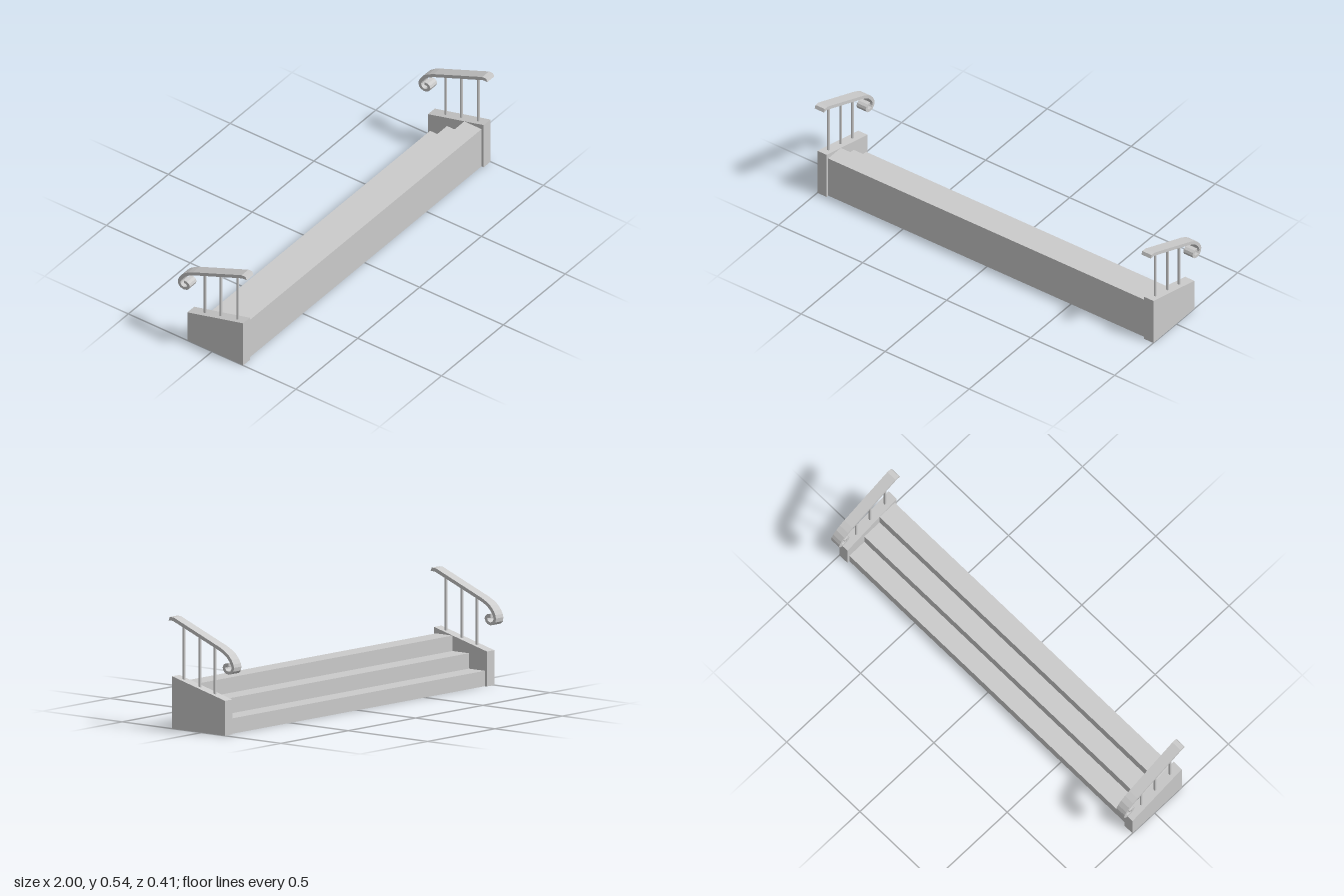
import * as THREE from 'three';

const material = new THREE.MeshStandardMaterial({ color: 0xcccccc, flatShading: true });

// Extrude a side profile of [z, y] points along x, centred on x = 0
function sideExtrude(name, points, width) {
  const shape = new THREE.Shape(points.map(([z, y]) => new THREE.Vector2(z, y)));
  const geometry = new THREE.ExtrudeGeometry(shape, { depth: width, bevelEnabled: false });
  geometry.translate(0, 0, -width / 2).rotateY(-Math.PI / 2);
  const mesh = new THREE.Mesh(geometry, material);
  mesh.name = name;
  return mesh;
}

const WALL_WIDTH = 0.055;
const STEP_RISE = 0.075;

// Handrail ribbon: upper/outer edge, then lower/inner edge, both from top end to scroll tip
const railOuter = [
  [0.2, 0.542], [0.176, 0.542], [-0.115, 0.427], [-0.145, 0.412], [-0.17, 0.395], [-0.19, 0.372],
  [-0.201, 0.352], [-0.205, 0.336], [-0.202, 0.317], [-0.19, 0.304], [-0.17, 0.299],
  [-0.151, 0.304], [-0.139, 0.315], [-0.133, 0.331], [-0.138, 0.344], [-0.15, 0.352], [-0.169, 0.354],
];
const railInner = [
  [0.207, 0.525], [0.181, 0.525], [-0.11, 0.411], [-0.138, 0.397], [-0.16, 0.381], [-0.177, 0.361],
  [-0.186, 0.346], [-0.189, 0.335], [-0.187, 0.325], [-0.181, 0.317], [-0.169, 0.314],
  [-0.158, 0.317], [-0.151, 0.324], [-0.149, 0.331], [-0.151, 0.335], [-0.157, 0.338], [-0.169, 0.338],
];

function createSide(name, x) {
  const side = new THREE.Group();
  side.name = name;
  side.position.x = x;

  // Sloped wall
  side.add(sideExtrude('sideWall', [[-0.148, 0], [0.185, 0], [0.185, 0.255], [-0.148, 0.17]], WALL_WIDTH));

  // Scrolled handrail
  side.add(sideExtrude('handrail', [...railOuter, ...[...railInner].reverse()], WALL_WIDTH));

  // Balusters from the wall up into the rail
  for (const z of [0.133, 0.032, -0.062]) {
    const bottom = 0.2 + z * 0.255;
    const top = 0.46 + z * 0.395;
    const baluster = new THREE.Mesh(new THREE.CylinderGeometry(0.0068, 0.0068, top - bottom, 8), material);
    baluster.name = 'baluster';
    baluster.position.set(0, (top + bottom) / 2, z);
    side.add(baluster);
  }
  return side;
}

export function createModel() {
  const model = new THREE.Group();
  model.name = 'steps';

  // Three treads rising from the back to the front
  const profile = [[0.172, 0.225], [0.172, 0], [-0.135, 0]];
  [-0.135, -0.034, 0.069].forEach((z, i) => {
    if (i > 0) profile.push([z, STEP_RISE * i]);
    profile.push([z, STEP_RISE * (i + 1)]);
  });
  model.add(sideExtrude('treads', profile, 2 - 2 * WALL_WIDTH));

  // Matching walls with railings at both ends
  const x = 1 - WALL_WIDTH / 2;
  model.add(createSide('leftSide', x), createSide('rightSide', -x));
  return model;
}
